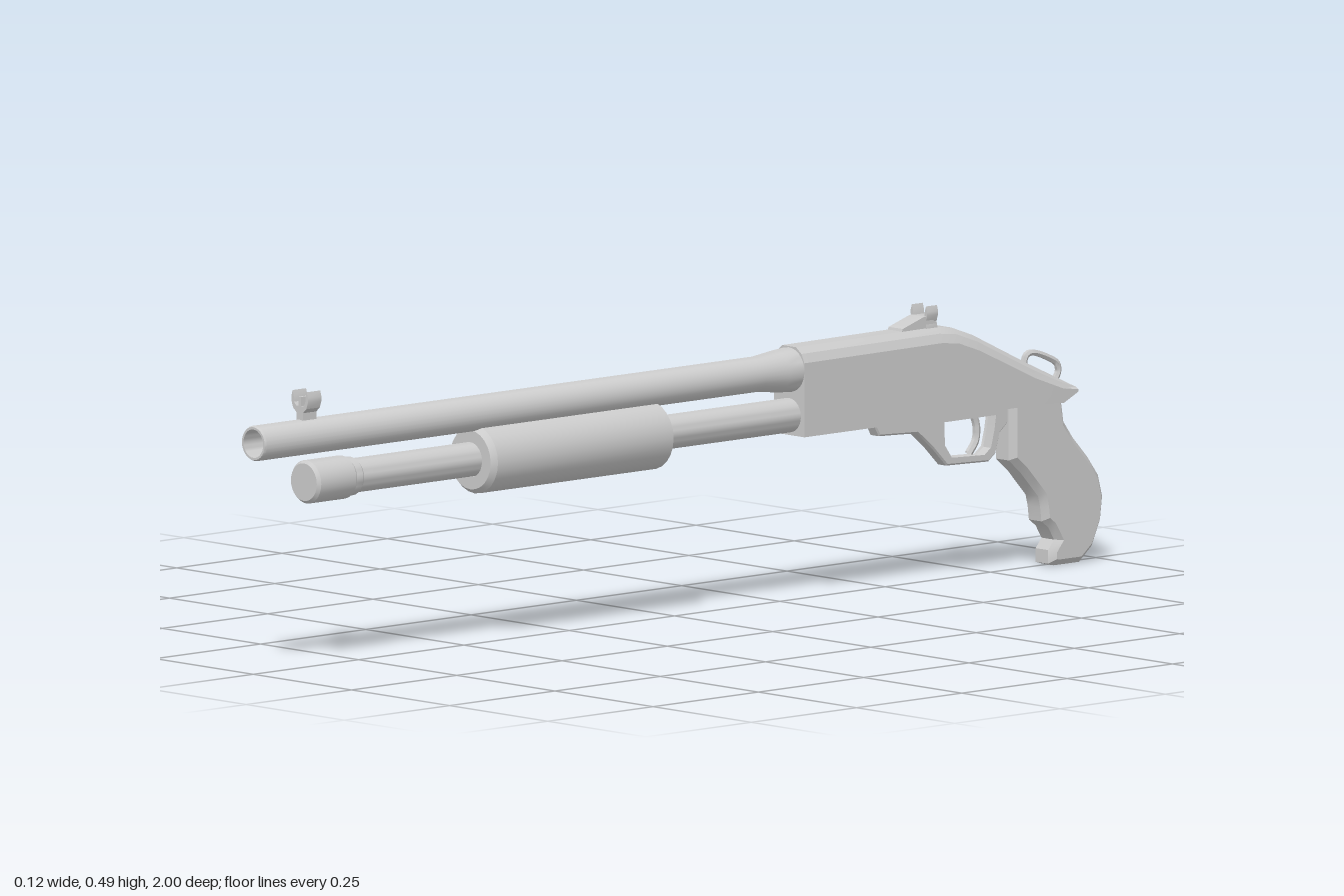
import * as THREE from 'three';
import { toCreasedNormals } from 'three/addons/utils/BufferGeometryUtils.js';

const material = new THREE.MeshStandardMaterial({ color: 0xcccccc, side: THREE.DoubleSide });

export function createModel() {
  const model = new THREE.Group();

  const add = (name, geometry, crease = 0.5) => {
    const mesh = new THREE.Mesh(toCreasedNormals(geometry, crease), material);
    mesh.name = name;
    model.add(mesh);
    return mesh;
  };

  // Turned part along z: points are [radius, z], from back to front
  const turned = (name, y, points, sides = 28) => {
    const geo = new THREE.LatheGeometry(points.map(([r, z]) => new THREE.Vector2(r, z)), sides);
    add(name, geo.rotateX(Math.PI / 2).translate(0, y, 0));
  };

  const toShape = (points) => new THREE.Shape(points.map(([a, b]) => new THREE.Vector2(a, b)));

  // Side profile in [z, y], extruded across x and centred, with optional edge bevel
  const sidePart = (name, points, width, bevel = 0, hole = null) => {
    const shape = toShape(points);
    if (hole) shape.holes.push(toShape(hole));
    const geo = new THREE.ExtrudeGeometry(shape, {
      depth: width - 2 * bevel, bevelEnabled: bevel > 0, bevelSize: bevel,
      bevelThickness: bevel, bevelOffset: -bevel, bevelSegments: 1,
    });
    geo.translate(0, 0, bevel - width / 2).rotateY(-Math.PI / 2);
    return add(name, geo);
  };

  // Front profile in [x, y], extruded from z to z + depth
  const frontPart = (name, points, z, depth) => {
    const geo = new THREE.ExtrudeGeometry(toShape(points), { depth, bevelEnabled: false });
    add(name, geo.translate(0, 0, z));
  };

  // Barrel with a hollow muzzle and a flare into the receiver
  turned('barrel', 0.405, [
    [0, -0.3], [0.039, -0.3], [0.039, -0.265], [0.037, -0.24], [0.031, -0.19],
    [0.031, 0.996], [0.029, 1], [0.025, 1], [0.025, 0.8], [0, 0.8],
  ]);

  // Magazine tube, end cap and sliding fore-end
  turned('magazineTube', 0.325, [[0, -0.3], [0.03, -0.3], [0.03, 0.8], [0, 0.8]]);
  turned('magazineCap', 0.325, [
    [0.03, 0.765], [0.034, 0.77], [0.034, 0.785], [0.038, 0.79],
    [0.038, 0.874], [0.033, 0.88], [0, 0.88],
  ]);
  turned('foreEnd', 0.324, [
    [0.03, 0.05], [0.048, 0.05], [0.06, 0.058], [0.06, 0.475], [0.052, 0.485], [0.03, 0.485],
  ], 24);

  // Receiver: chamfered cross-sections [z, top, bottom, half width, chamfer height]
  const stations = [
    [-0.272, 0.446, 0.29, 0.039, 0.026],
    [-0.6, 0.448, 0.29, 0.039, 0.026],
    [-0.64, 0.443, 0.29, 0.039, 0.026],
    [-0.69, 0.425, 0.29, 0.039, 0.026],
    [-0.82, 0.362, 0.29, 0.038, 0.024],
    [-0.89, 0.33, 0.287, 0.037, 0.018],
    [-0.925, 0.314, 0.303, 0.036, 0.006],
  ];
  const rings = stations.map(([z, top, bottom, w, c]) => [
    [-w, bottom], [w, bottom], [w, top - c], [w * 0.8, top - c * 0.4], [w * 0.45, top],
    [-w * 0.45, top], [-w * 0.8, top - c * 0.4], [-w, top - c],
  ].map(([x, y]) => [x, y, z]));
  const count = rings[0].length;
  const last = rings.length - 1;
  const positions = rings.flat(2);
  const index = [];
  for (let i = 0; i < last; i++) {
    for (let j = 0; j < count; j++) {
      const k = (j + 1) % count;
      const a = i * count + j, b = i * count + k;
      index.push(a, a + count, b + count, a, b + count, b);
    }
  }
  for (let j = 1; j < count - 1; j++) {
    index.push(0, j, j + 1);
    index.push(last * count, last * count + j + 1, last * count + j);
  }
  const receiver = new THREE.BufferGeometry();
  receiver.setAttribute('position', new THREE.Float32BufferAttribute(positions, 3));
  receiver.setIndex(index);
  add('receiver', receiver, 0.4);

  // Ejection port cover on the right side
  add('ejectionPort', new THREE.BoxGeometry(0.006, 0.085, 0.17).translate(-0.039, 0.367, -0.375));

  // Trigger guard with its front plate
  sidePart('triggerGuard', [
    [-0.46, 0.295], [-0.475, 0.268], [-0.565, 0.264], [-0.6, 0.235], [-0.635, 0.2],
    [-0.735, 0.197], [-0.752, 0.21], [-0.762, 0.245], [-0.785, 0.265], [-0.785, 0.295],
  ], 0.026, 0.003, [
    [-0.625, 0.28], [-0.627, 0.235], [-0.645, 0.21], [-0.725, 0.207],
    [-0.742, 0.22], [-0.75, 0.25], [-0.755, 0.28],
  ]);
  const triggerCurve = new THREE.CatmullRomCurve3([
    new THREE.Vector3(0, 0.29, -0.705), new THREE.Vector3(0, 0.262, -0.716),
    new THREE.Vector3(0, 0.235, -0.714), new THREE.Vector3(0, 0.214, -0.698),
  ]);
  add('trigger', new THREE.TubeGeometry(triggerCurve, 10, 0.007, 6));

  // Pistol grip with finger grooves
  sidePart('grip', [
    [-0.778, 0.3], [-0.778, 0.195], [-0.805, 0.172], [-0.825, 0.15], [-0.848, 0.125],
    [-0.853, 0.105], [-0.856, 0.08], [-0.872, 0.068], [-0.886, 0.045], [-0.872, 0.028],
    [-0.872, 0.004], [-0.885, 0], [-0.945, 0], [-0.975, 0.025], [-0.995, 0.07], [-1, 0.11],
    [-0.99, 0.148], [-0.965, 0.182], [-0.93, 0.22], [-0.908, 0.25], [-0.9, 0.3],
  ], 0.054, 0.011);

  // Sling loop on the tail
  const loop = new THREE.CatmullRomCurve3([
    [0.35, -0.828], [0.371, -0.833], [0.376, -0.845], [0.364, -0.885],
    [0.35, -0.908], [0.335, -0.91], [0.315, -0.895],
  ].map(([y, z]) => new THREE.Vector3(0, y, z)));
  add('slingLoop', new THREE.TubeGeometry(loop, 24, 0.006, 6), 0.9);

  // Sights: forked ears, the front one on a stem with a centre post
  const fork = (stem, base, floor, post) => {
    const half = [[stem, base], [stem, floor - 0.012], [0.017, floor - 0.004], [0.021, floor + 0.008],
      [0.021, 0.476], [0.018, 0.486], [0.015, 0.476], [0.014, floor + 0.006], [0.009, floor]];
    if (post) half.push([0.003, floor], [0.003, post]);
    return [...half, ...half.map(([x, y]) => [-x, y]).reverse()];
  };
  frontPart('frontSight', fork(0.008, 0.43, 0.46, 0.476), 0.858, 0.032);
  frontPart('rearSight', fork(0.019, 0.438, 0.462), -0.606, 0.026);
  sidePart('rearSightRamp', [
    [-0.52, 0.44], [-0.525, 0.452], [-0.575, 0.468], [-0.585, 0.468], [-0.606, 0.455], [-0.606, 0.44],
  ], 0.036);

  return model;
}
